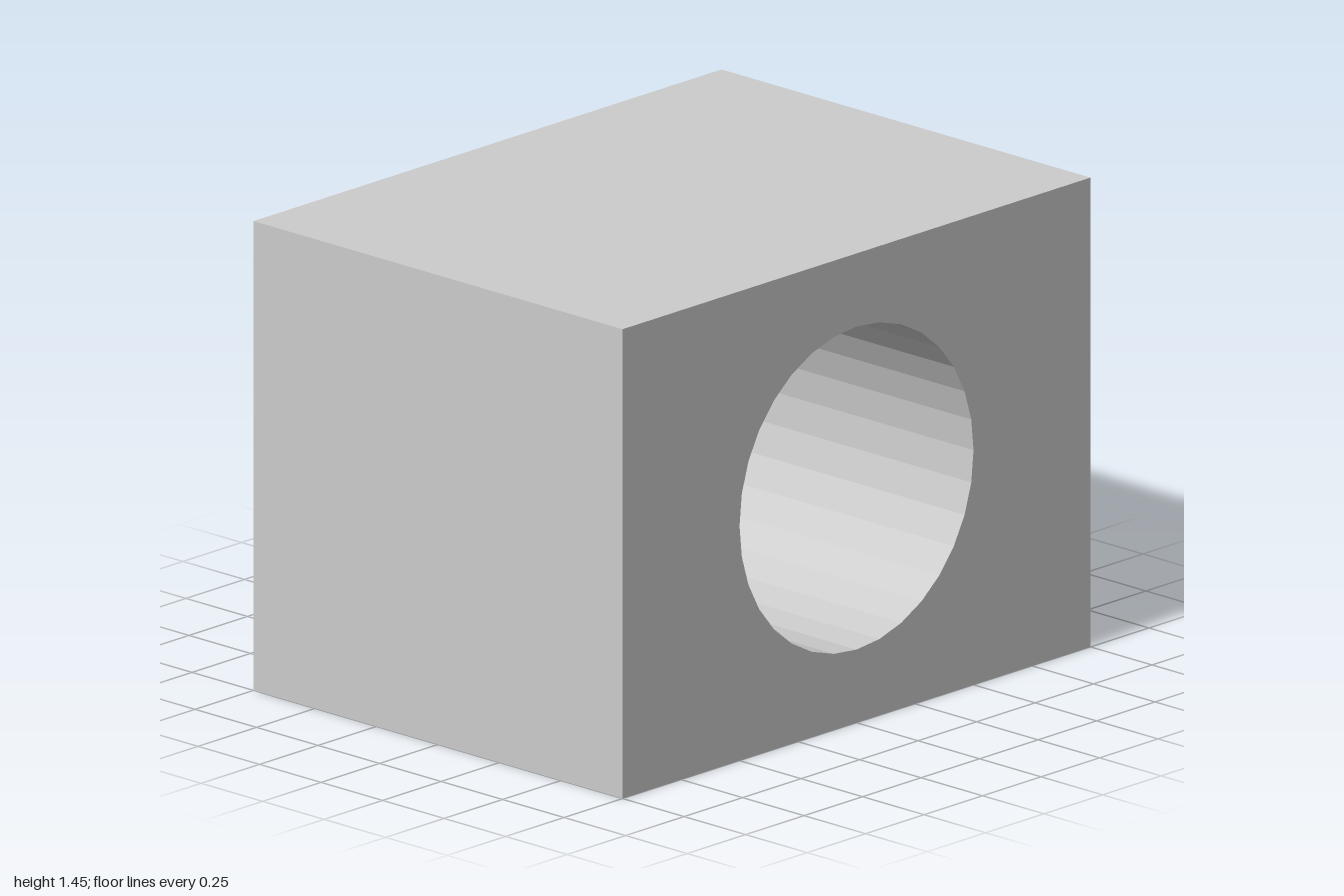
import * as THREE from 'three';

const WIDTH = 2, HEIGHT = 1.453, DEPTH = 1.5, BORE_RADIUS = 0.5;

export function createModel() {
  const group = new THREE.Group();
  group.name = 'boredBlock';

  // Rectangular face with a centred round opening
  const face = new THREE.Shape();
  face.moveTo(-WIDTH / 2, 0);
  face.lineTo(WIDTH / 2, 0);
  face.lineTo(WIDTH / 2, HEIGHT);
  face.lineTo(-WIDTH / 2, HEIGHT);
  face.closePath();

  const bore = new THREE.Path();
  bore.absarc(0, HEIGHT / 2, BORE_RADIUS, 0, Math.PI * 2, true);
  face.holes.push(bore);

  // Block with the bore running front to back (32 flat facets)
  const geometry = new THREE.ExtrudeGeometry(face, {
    depth: DEPTH,
    bevelEnabled: false,
    curveSegments: 16,
  });
  geometry.translate(0, 0, -DEPTH / 2);

  const block = new THREE.Mesh(
    geometry,
    new THREE.MeshStandardMaterial({ color: 0xcccccc, flatShading: true })
  );
  block.name = 'block';
  group.add(block);

  return group;
}
